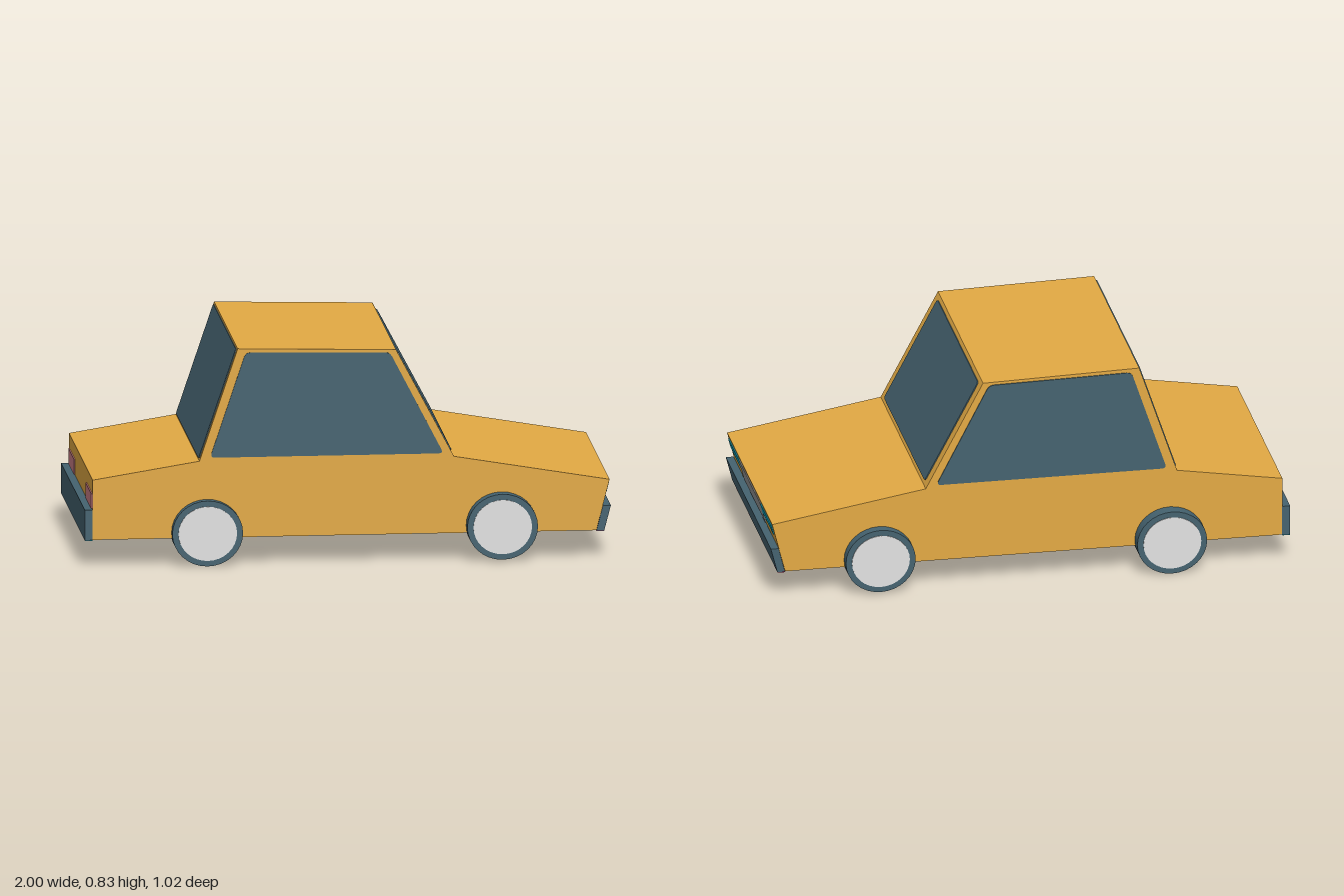
import * as THREE from 'three';

const mat = (name, color) => {
  const m = new THREE.MeshStandardMaterial({ color });
  m.name = name;
  return m;
};

// Closed 2D shape whose corners are softened by radius r
function softShape(pts, r) {
  const p = pts.map(([x, y]) => new THREE.Vector2(x, y));
  const s = new THREE.Shape();
  p.forEach((c, i) => {
    const prev = p[(i + p.length - 1) % p.length], next = p[(i + 1) % p.length];
    const a = c.clone().add(prev.clone().sub(c).setLength(r));
    const b = c.clone().add(next.clone().sub(c).setLength(r));
    if (i === 0) s.moveTo(a.x, a.y); else s.lineTo(a.x, a.y);
    s.quadraticCurveTo(c.x, c.y, b.x, b.y);
  });
  s.closePath();
  return s;
}

const extrude = (shape, depth) =>
  new THREE.ExtrudeGeometry(shape, { depth, bevelEnabled: false, curveSegments: 3 });

export function createModel() {
  const car = new THREE.Group();
  car.name = 'car';
  const paint = mat('amber paint', 0xe3aa44);
  const slate = mat('slate glass and rubber', 0x456370);
  const hubGrey = mat('pale hub', 0xe2e2e2);
  const grilleGrey = mat('grille grey', 0x999999);
  const teal = mat('teal lamp', 0x12a3bc);
  const pink = mat('tail lamp pink', 0xcc7f88);
  const crimson = mat('crimson trim', 0xc2185b);

  const add = (name, geo, material, parent = car) => {
    const m = new THREE.Mesh(geo, material);
    m.name = name;
    parent.add(m);
    return m;
  };
  const W = 0.455;

  // A side profile extruded across the full width
  const acrossCar = (name, pts, material) => {
    const s = new THREE.Shape(pts.map(([x, y]) => new THREE.Vector2(x, y)));
    add(name, extrude(s, 2 * W), material).position.z = -W;
  };

  acrossCar('body', [
    [-0.97, 0.105], [0.94, 0.105], [0.99, 0.3], [0.4, 0.4],
    [0.18, 0.815], [-0.42, 0.83], [-0.565, 0.4], [-0.97, 0.335],
  ], paint);
  acrossCar('frontBumper', [[0.941, 0.104], [0.97, 0.104], [0.995, 0.2], [0.965, 0.2]], slate);
  acrossCar('rearBumper', [[-1, 0.104], [-0.969, 0.104], [-0.969, 0.22], [-1, 0.22]], slate);

  // Coloured undersides of the bumpers
  [['frontBumperTrim', 0.955, crimson], ['rearBumperTrim', -0.985, teal]].forEach(([n, x, m]) => {
    add(n, new THREE.BoxGeometry(0.028, 0.002, 2 * W), m).position.set(x, 0.1025, 0);
  });

  // Side windows
  const sideGlass = extrude(softShape(
    [[-0.525, 0.413], [0.36, 0.413], [0.157, 0.805], [-0.39, 0.815]], 0.018), 0.004);
  [['leftSideWindow', W], ['rightSideWindow', -W - 0.004]].forEach(([n, z]) => {
    add(n, sideGlass, slate).position.z = z;
  });

  // Thin plate on a sloping end face; side is +1 for front, -1 for rear.
  // a and b are the lower and upper ends of the slope in the side profile.
  const endPlate = (name, a, b, side, [z0, z1, y0, y1], material, r = 0.001) => {
    const v = new THREE.Vector3(b[0] - a[0], b[1] - a[1], 0);
    const k = v.length() / v.y;
    v.normalize();
    const n = new THREE.Vector3(side * v.y, -side * v.x, 0);
    const u = new THREE.Vector3().crossVectors(v, n);
    const [v0, v1] = [(y0 - a[1]) * k, (y1 - a[1]) * k];
    const m = add(name, extrude(softShape([[z0, v0], [z1, v0], [z1, v1], [z0, v1]], r), 0.004), material);
    m.quaternion.setFromRotationMatrix(new THREE.Matrix4().makeBasis(u, v, n));
    m.position.set(a[0], a[1], 0);
  };

  endPlate('windshield', [0.4, 0.4], [0.18, 0.815], 1, [-0.41, 0.41, 0.413, 0.8], slate, 0.015);
  endPlate('rearWindow', [-0.565, 0.4], [-0.42, 0.83], -1, [-0.435, 0.435, 0.406, 0.824], slate, 0.012);

  const nose = [[0.94, 0.105], [0.99, 0.3]], tail = [[-0.97, 0.105], [-0.97, 0.335]];
  endPlate('grille', ...nose, 1, [-0.214, 0.214, 0.208, 0.289], grilleGrey);
  [-1, 1].forEach((s) => {
    const label = s > 0 ? 'A' : 'B';
    const span = (p, q) => (s > 0 ? [p, q] : [-q, -p]);
    endPlate('headlight' + label, ...nose, 1, [...span(0.215, 0.432), 0.25, 0.287], teal);
    endPlate('tailLight' + label, ...tail, -1, [...span(0.22, 0.44), 0.222, 0.28], pink);
  });

  // Wheels: slightly squashed tyre with a pale hub disc
  const tyreGeo = new THREE.CylinderGeometry(0.134, 0.134, 1, 32).rotateX(Math.PI / 2);
  const hubGeo = new THREE.CylinderGeometry(0.111, 0.111, 0.004, 32).rotateX(Math.PI / 2);
  const wheel = (name, x, y, side, outer) => {
    const g = new THREE.Group();
    g.name = name;
    g.position.set(x, y, 0);
    g.scale.y = 0.94;
    const inner = 0.407;
    const t = add('tyre', tyreGeo, slate, g);
    t.scale.z = outer - inner;
    t.position.z = side * (outer + inner) / 2;
    add('hub', hubGeo, hubGrey, g).position.z = side * (outer + 0.001);
    car.add(g);
  };
  wheel('frontWheelNear', 0.58, 0.134, 1, 0.503);
  wheel('frontWheelFar', 0.58, 0.134, -1, 0.494);
  wheel('rearWheelNear', -0.537, 0.127, 1, 0.488);
  wheel('rearWheelFar', -0.537, 0.127, -1, 0.507);

  return car;
}
